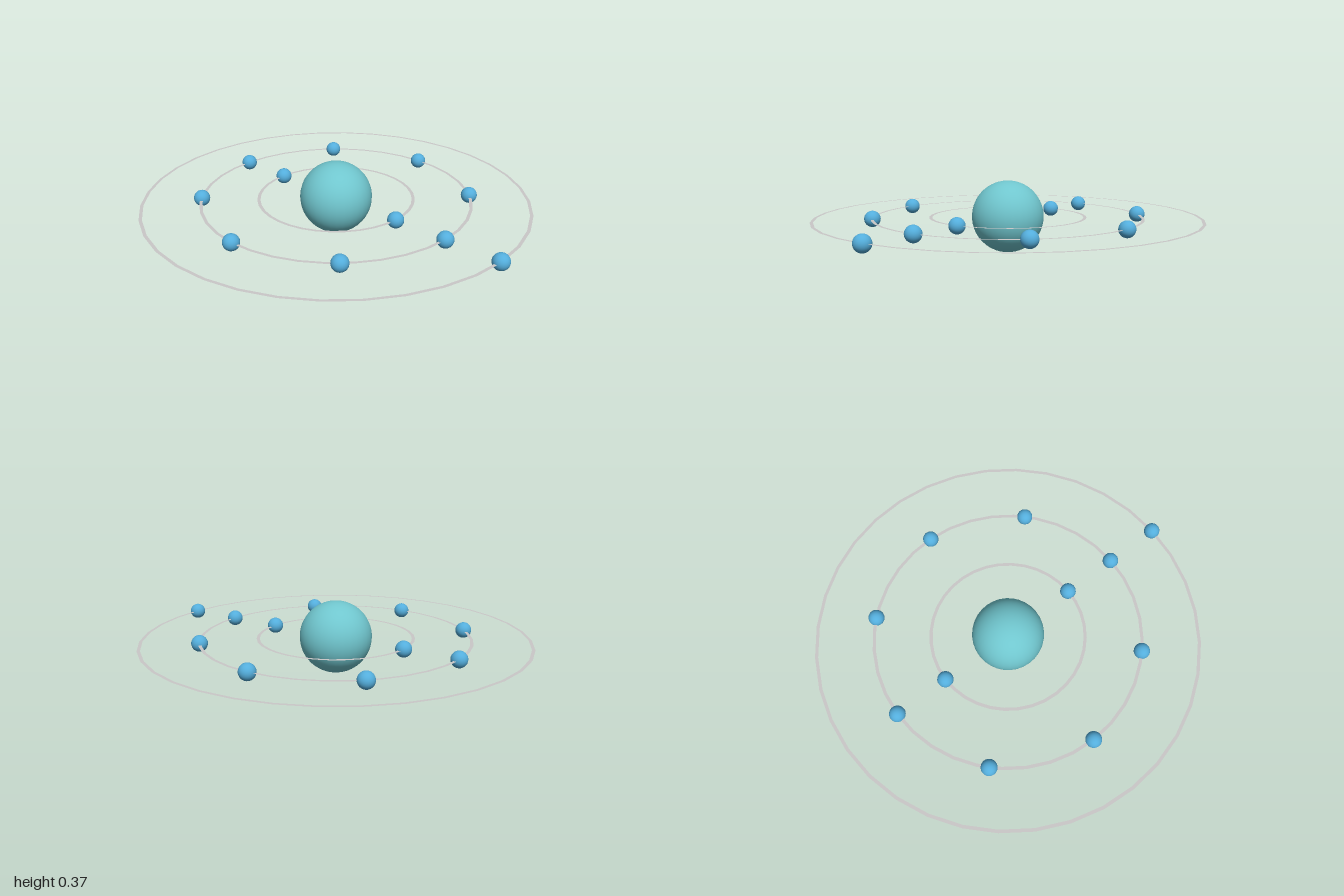
import * as THREE from 'three';

export function createModel() {
  const material = (name, color, extra = {}) => {
    const m = new THREE.MeshStandardMaterial({ color, ...extra });
    m.name = name;
    return m;
  };
  const teal = material('nucleusTeal', 0x70c6ce);
  const blue = material('electronBlue', 0x54aedc);
  const grey = material('orbitGrey', 0xcac8c8, { side: THREE.DoubleSide });

  const nucleusRadius = 0.184;
  const electronRadius = 0.041;
  const halfWidth = 0.008;

  const model = new THREE.Group();
  model.name = 'atomModel';

  // The lone outer electron overhangs +x, so the nucleus sits a little to -x
  const atom = new THREE.Group();
  atom.name = 'atom';
  atom.position.set(-0.017, nucleusRadius, 0);
  model.add(atom);

  const nucleus = new THREE.Mesh(new THREE.SphereGeometry(nucleusRadius, 32, 32), teal);
  nucleus.name = 'nucleus';
  atom.add(nucleus);

  // Each shell: a flat orbit ring with evenly spaced electrons
  const electronGeometry = new THREE.SphereGeometry(electronRadius, 24, 16);
  const shells = [
    { name: 'inner', radius: 0.394, electrons: 2 },
    { name: 'middle', radius: 0.684, electrons: 8 },
    { name: 'outer', radius: 0.975, electrons: 1 },
  ];
  for (const { name, radius, electrons } of shells) {
    const shell = new THREE.Group();
    shell.name = `${name}Shell`;

    const ring = new THREE.Mesh(
      new THREE.RingGeometry(radius - halfWidth, radius + halfWidth, 36), grey);
    ring.rotation.x = -Math.PI / 2;
    ring.name = `${name}Orbit`;
    shell.add(ring);

    for (let i = 0; i < electrons; i++) {
      const angle = (i / electrons) * Math.PI * 2;
      const electron = new THREE.Mesh(electronGeometry, blue);
      electron.position.set(Math.cos(angle) * radius, 0, Math.sin(angle) * radius);
      electron.name = `${name}Electron${i + 1}`;
      shell.add(electron);
    }
    atom.add(shell);
  }

  return model;
}
